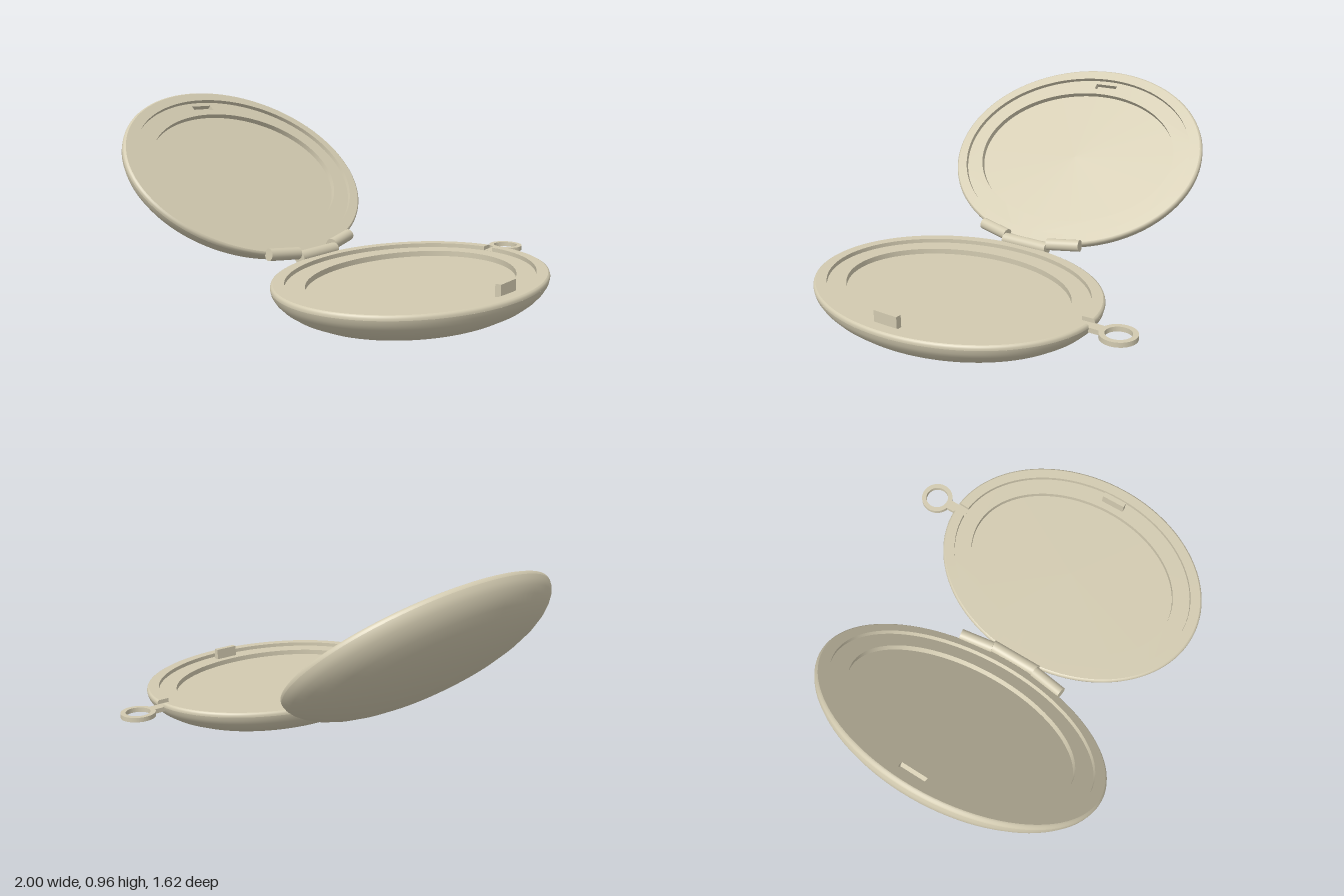
import * as THREE from 'three';

const RX = 0.555, RZ = 0.7075;      // outer half-axes of each oval shell
const STEP = -0.02, FLOOR = -0.046; // ledge and floor heights below the rim plane
const SEG = 96;

// A row is [half-axis x, half-axis z, height]
const inset = (d, y) => [RX - d, RZ - d, y];
const scaled = (t, y) => [RX * t, RZ * t, y];

// Sweeps rows around the oval, all the way or between two angles
function sweep(rows, a0 = 0, a1 = Math.PI * 2) {
  const full = a1 - a0 > Math.PI * 2 - 1e-6;
  const n = full ? SEG : SEG + 1;
  const pos = [], idx = [];
  for (const [a, b, y] of rows) {
    for (let j = 0; j < n; j++) {
      const t = a0 + (a1 - a0) * j / SEG;
      pos.push(a * Math.cos(t), y, -b * Math.sin(t));
    }
  }
  for (let i = 0; i < rows.length - 1; i++) {
    for (let j = 0; j < SEG; j++) {
      const k = (j + 1) % n, p = i * n, q = p + n;
      idx.push(p + j, p + k, q + j, p + k, q + k, q + j);
    }
  }
  const g = new THREE.BufferGeometry();
  g.setAttribute('position', new THREE.Float32BufferAttribute(pos, 3));
  g.setIndex(idx);
  g.computeVertexNormals();
  return g;
}

// Flat end of a swept convex section
function endCap(rows, t) {
  const pos = rows.flatMap(([a, b, y]) => [a * Math.cos(t), y, -b * Math.sin(t)]);
  const idx = [];
  for (let i = 1; i < rows.length - 1; i++) idx.push(0, i, i + 1);
  const g = new THREE.BufferGeometry();
  g.setAttribute('position', new THREE.Float32BufferAttribute(pos, 3));
  g.setIndex(idx);
  g.computeVertexNormals();
  return g;
}

export function createModel() {
  const metal = new THREE.MeshStandardMaterial({ color: 0xd2cab0, side: THREE.DoubleSide });
  metal.name = 'pale gold';

  const add = (parent, name, geometry, x = 0, y = 0, z = 0) => {
    const m = new THREE.Mesh(geometry, metal);
    m.name = name;
    m.position.set(x, y, z);
    parent.add(m);
    return m;
  };

  // One oval shell; the origin is the centre of its rim plane
  function shell(name, notch, slotX) {
    const g = new THREE.Group();
    g.name = name;

    // Domed outside
    add(g, 'dome', sweep([
      [0, -0.215], [0.18, -0.212], [0.36, -0.203], [0.52, -0.188], [0.66, -0.168], [0.78, -0.143],
      [0.87, -0.115], [0.93, -0.088], [0.97, -0.062], [0.992, -0.04], [1, STEP],
    ].map(([t, y]) => scaled(t, y))));

    // Raised rim, open where the stem passes through
    const a0 = Math.PI / 2 + notch, a1 = Math.PI * 2.5 - notch;
    const section = [inset(0, STEP), inset(0, -0.012), inset(0.003, -0.004), inset(0.01, 0),
      inset(0.06, 0), inset(0.06, STEP)];
    add(g, 'rimEdge', sweep(section.slice(0, 4), a0, a1));
    add(g, 'rimTop', sweep(section.slice(3, 5), a0, a1));
    add(g, 'rimWall', sweep(section.slice(4, 6), a0, a1));
    if (notch) for (const t of [a0, a1]) add(g, 'rimEnd', endCap(section, t));

    // Ledge, with an optional catch slot
    const ledge = new THREE.Shape().absellipse(0, 0, RX, RZ, 0, Math.PI * 2);
    ledge.holes.push(new THREE.Path().absellipse(0, 0, RX - 0.148, RZ - 0.148, 0, Math.PI * 2, true));
    if (slotX) {
      const w = 0.016, h = 0.0625;
      ledge.holes.push(new THREE.Path([
        [-w, -h], [-w, h], [w, h], [w, -h],
      ].map(([x, y]) => new THREE.Vector2(slotX + x, y))));
      const pocket = new THREE.BoxGeometry(w * 2, 0.024, h * 2);
      const faces = Array.from(pocket.index.array);
      faces.splice(12, 6); // leave the top open
      pocket.setIndex(faces);
      pocket.clearGroups();
      add(g, 'catchSlot', pocket, slotX, STEP - 0.012, 0);
    }
    add(g, 'ledge', new THREE.ShapeGeometry(ledge, SEG / 2).rotateX(-Math.PI / 2), 0, STEP, 0);

    // Sunken picture floor
    add(g, 'innerWall', sweep([inset(0.148, STEP), inset(0.148, FLOOR)]));
    add(g, 'floor', sweep([inset(0.148, FLOOR), [0, 0, FLOOR]]));
    return g;
  }

  const model = new THREE.Group();
  model.name = 'locket';

  const base = shell('baseShell', 0.046, 0);
  base.position.set(0.44, 0.215, 0.0975);
  add(base, 'catchTab', new THREE.BoxGeometry(0.027, 0.056, 0.125), 0.455, 0.007, 0);

  const lid = shell('lidShell', 0, -0.455);
  lid.position.set(-0.565, 0.597, 0.0975);
  lid.rotation.z = -41.5 * Math.PI / 180;
  model.add(base, lid);

  // Hanging ring and stem
  const bail = new THREE.Group();
  bail.name = 'hangingRing';
  const ring = new THREE.Shape().absarc(0, 0, 0.082, 0, Math.PI * 2);
  ring.holes.push(new THREE.Path().absarc(0, 0, 0.058, 0, Math.PI * 2, true));
  const ringGeometry = new THREE.ExtrudeGeometry(ring, { depth: 0.022, bevelEnabled: false, curveSegments: 32 });
  add(bail, 'ring', ringGeometry.rotateX(-Math.PI / 2), 0.437, 0.174, -0.733);
  add(bail, 'stem', new THREE.BoxGeometry(0.05, 0.022, 0.116), 0.437, 0.185, -0.607);
  model.add(bail);

  // Hinge: straight middle knuckle, two outer ones leaning along the lid
  const hinge = new THREE.Group();
  hinge.name = 'hinge';
  const knuckle = (name, a, b, r) => {
    const from = new THREE.Vector3(...a), to = new THREE.Vector3(...b);
    const dir = to.clone().sub(from);
    const m = add(hinge, name, new THREE.CylinderGeometry(r, r, dir.length(), 32));
    m.position.copy(from).add(to).multiplyScalar(0.5);
    m.quaternion.setFromUnitVectors(new THREE.Vector3(0, 1, 0), dir.normalize());
  };
  knuckle('middleKnuckle', [-0.126, 0.219, -0.03], [-0.126, 0.219, 0.225], 0.031);
  for (const s of [-1, 1]) {
    knuckle('lidKnuckle', [-0.138, 0.238, 0.0975 + s * 0.122], [-0.168, 0.256, 0.0975 + s * 0.29], 0.029);
  }
  model.add(hinge);
  return model;
}
